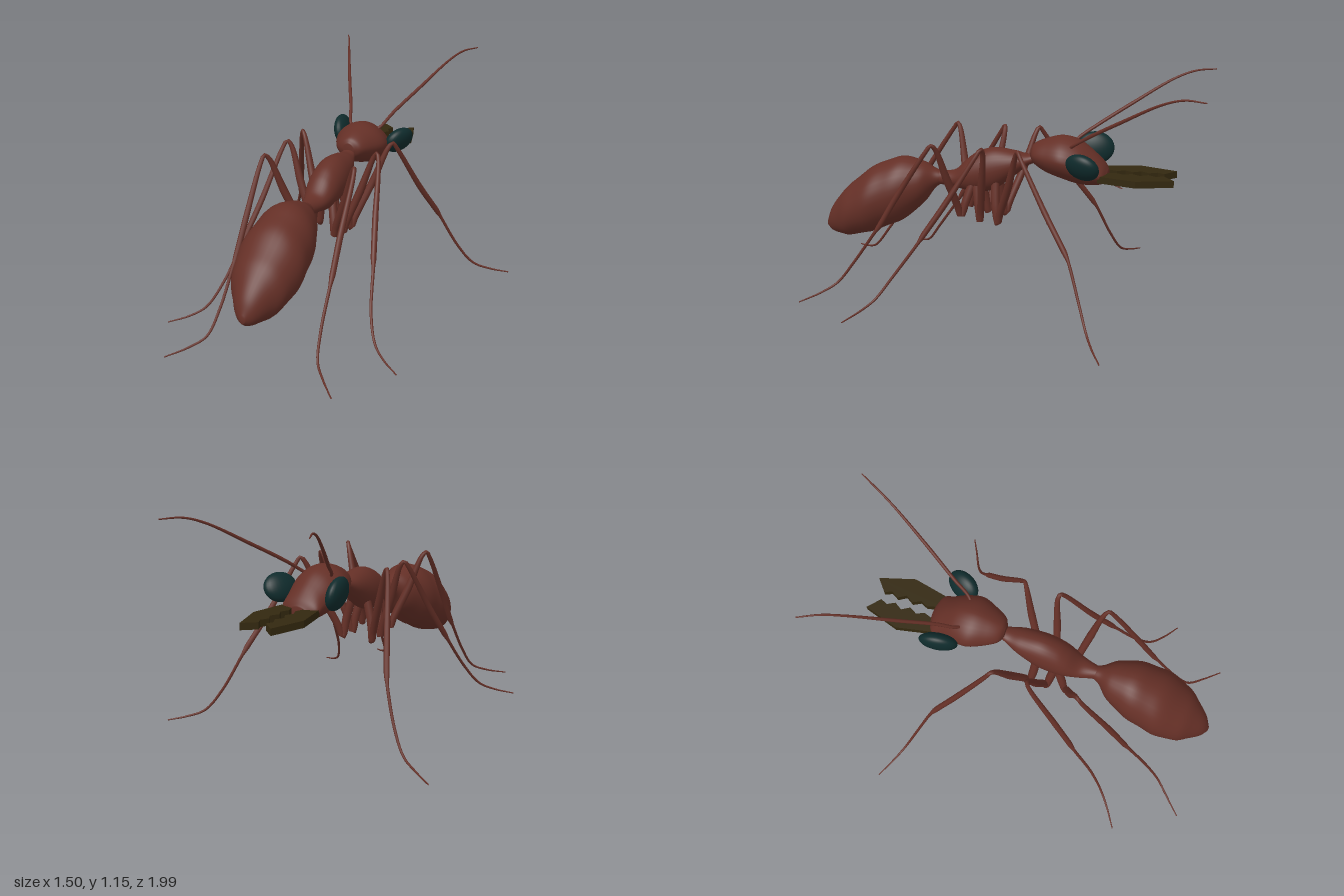
import * as THREE from 'three';

const mat = (name, color, side = THREE.FrontSide) => {
  const m = new THREE.MeshStandardMaterial({ color, side });
  m.name = name;
  return m;
};

// Smooth body section from stations [z, yLow, yHigh, halfWidth]; e > 1 pinches the cross-section
function loft(stations, e = 1, ripple = 0, steps = 56, sides = 32) {
  const centre = new THREE.CatmullRomCurve3(
    stations.map(([z, a, b]) => new THREE.Vector3(0, (a + b) / 2, z)), false, 'catmullrom');
  const size = new THREE.CatmullRomCurve3(
    stations.map(([, a, b, w]) => new THREE.Vector3(w, (b - a) / 2, 0)), false, 'catmullrom');
  const bend = (v) => Math.sign(v) * Math.abs(v) ** e;
  const pos = [], idx = [];
  for (let i = 0; i <= steps; i++) {
    const c = centre.getPoint(i / steps), s = size.getPoint(i / steps);
    const k = 1 + ripple * Math.sin((i / steps) * Math.PI * 12);
    for (let j = 0; j < sides; j++) {
      const a = (j / sides) * Math.PI * 2;
      pos.push(s.x * k * bend(Math.cos(a)), c.y + s.y * k * bend(Math.sin(a)), c.z);
      if (i < steps) {
        const p = i * sides + j, q = i * sides + (j + 1) % sides;
        idx.push(p, q, p + sides, q, q + sides, p + sides);
      }
    }
  }
  // Close both ends
  for (const end of [0, steps]) {
    const c = centre.getPoint(end / steps), mid = pos.length / 3;
    pos.push(c.x, c.y, c.z);
    for (let j = 0; j < sides; j++) {
      const p = end * sides + j, q = end * sides + (j + 1) % sides;
      if (end) idx.push(mid, p, q); else idx.push(mid, q, p);
    }
  }
  const g = new THREE.BufferGeometry();
  g.setAttribute('position', new THREE.Float32BufferAttribute(pos, 3));
  g.setIndex(idx);
  g.computeVertexNormals();
  return g;
}

// Tapered limb through points [x, y, z, radius], mirrored by s
function limb(points, s, steps = 80, sides = 10) {
  const curve = new THREE.CatmullRomCurve3(points.map(([x, y, z]) => new THREE.Vector3(x * s, y, z)));
  const g = new THREE.TubeGeometry(curve, steps, 1, sides);
  const p = g.attributes.position, v = new THREE.Vector3();
  for (let i = 0; i <= steps; i++) {
    const c = curve.getPointAt(i / steps);
    const t = curve.getUtoTmapping(i / steps) * (points.length - 1);
    const k = Math.min(Math.floor(t), points.length - 2);
    const r = THREE.MathUtils.lerp(points[k][3], points[k + 1][3], t - k);
    for (let j = 0; j <= sides; j++) {
      const n = i * (sides + 1) + j;
      v.fromBufferAttribute(p, n).sub(c).multiplyScalar(r).add(c);
      p.setXYZ(n, v.x, v.y, v.z);
    }
  }
  return g;
}

export function createModel() {
  const model = new THREE.Group();
  const shell = mat('reddish brown shell', 0x642f26);
  const limbs = mat('reddish brown limbs', 0x642f26, THREE.DoubleSide);
  const jaw = mat('dark olive jaw', 0x33280f);
  const eyeMat = mat('dark teal eye', 0x0f2b2c);
  const add = (name, geometry, material, parent = model) => {
    const m = new THREE.Mesh(geometry, material);
    m.name = name;
    parent.add(m);
    return m;
  };

  // Body
  add('head', loft([
    [-0.51, 0.64, 0.69, 0.05], [-0.485, 0.62, 0.73, 0.1], [-0.43, 0.608, 0.785, 0.11],
    [-0.36, 0.612, 0.835, 0.128], [-0.28, 0.634, 0.853, 0.136], [-0.2, 0.66, 0.835, 0.105],
    [-0.14, 0.695, 0.808, 0.07], [-0.118, 0.72, 0.78, 0.03],
  ], 1.15), shell);
  add('thorax', loft([
    [-0.16, 0.71, 0.76, 0.025], [-0.1, 0.685, 0.745, 0.045], [-0.03, 0.625, 0.758, 0.07],
    [0.07, 0.55, 0.768, 0.085], [0.15, 0.53, 0.745, 0.085], [0.21, 0.532, 0.705, 0.078],
    [0.28, 0.546, 0.638, 0.058], [0.36, 0.552, 0.626, 0.036], [0.42, 0.54, 0.63, 0.03],
  ]), shell);
  add('abdomen', loft([
    [0.35, 0.56, 0.62, 0.032], [0.39, 0.53, 0.635, 0.05], [0.45, 0.45, 0.662, 0.1],
    [0.54, 0.365, 0.686, 0.14], [0.64, 0.31, 0.665, 0.16], [0.74, 0.268, 0.615, 0.165],
    [0.84, 0.24, 0.535, 0.143], [0.91, 0.236, 0.465, 0.1], [0.97, 0.25, 0.38, 0.052],
    [1.0, 0.272, 0.305, 0.012],
  ], 1, 0.012, 72), shell);

  // Outer edge, pointed tip and toothed inner edge of a jaw, as [x, z]
  const jawOutline = [
    [0.1, -0.47], [0.14, -0.66], [0.085, -0.84], [0.02, -0.785], [0.037, -0.75], [0.015, -0.71],
    [0.04, -0.67], [0.015, -0.63], [0.036, -0.59], [0.018, -0.55], [0.045, -0.47],
  ];

  // Legs: body joint, low elbow, high knee, swollen shin, foot
  const legs = {
    frontLeg: [
      [0.04, 0.62, 0.06, 0.022], [0.075, 0.48, 0.05, 0.022], [0.088, 0.39, 0.036, 0.016],
      [0.105, 0.45, 0.02, 0.019], [0.17, 0.62, -0.04, 0.02], [0.235, 0.8, -0.092, 0.012],
      [0.252, 0.822, -0.105, 0.01], [0.268, 0.79, -0.125, 0.011], [0.345, 0.55, -0.265, 0.015],
      [0.405, 0.39, -0.37, 0.014], [0.42, 0.35, -0.392, 0.008], [0.5, 0.17, -0.462, 0.007],
      [0.575, 0.065, -0.51, 0.006], [0.66, 0.027, -0.552, 0.005], [0.75, 0.004, -0.6, 0.003],
    ],
    middleLeg: [
      [0.04, 0.62, 0.165, 0.022], [0.072, 0.48, 0.142, 0.022], [0.085, 0.39, 0.13, 0.016],
      [0.1, 0.45, 0.122, 0.019], [0.165, 0.62, 0.098, 0.02], [0.228, 0.8, 0.075, 0.012],
      [0.247, 0.822, 0.08, 0.01], [0.262, 0.79, 0.1, 0.011], [0.31, 0.55, 0.245, 0.015],
      [0.348, 0.39, 0.35, 0.014], [0.358, 0.35, 0.375, 0.008], [0.4, 0.18, 0.495, 0.007],
      [0.455, 0.07, 0.575, 0.006], [0.52, 0.03, 0.63, 0.005], [0.61, 0.004, 0.69, 0.003],
    ],
    rearLeg: [
      [0.04, 0.62, 0.165, 0.022], [0.07, 0.5, 0.205, 0.022], [0.085, 0.415, 0.23, 0.016],
      [0.1, 0.47, 0.242, 0.019], [0.165, 0.63, 0.278, 0.02], [0.222, 0.8, 0.318, 0.012],
      [0.238, 0.822, 0.335, 0.01], [0.245, 0.79, 0.36, 0.011], [0.25, 0.55, 0.515, 0.015],
      [0.254, 0.39, 0.61, 0.014], [0.256, 0.35, 0.638, 0.008], [0.265, 0.18, 0.755, 0.007],
      [0.29, 0.07, 0.84, 0.006], [0.35, 0.03, 0.91, 0.005], [0.43, 0.004, 0.995, 0.003],
    ],
  };

  for (const s of [1, -1]) {
    const side = s > 0 ? 'left' : 'right';
    for (const [name, points] of Object.entries(legs)) {
      add(`${side} ${name}`, limb(points, s, 110), limbs);
    }

    add(`${side} antenna`, limb([
      [0.05, 0.79, -0.31, 0.008], [0.088, 0.825, -0.345, 0.008], [0.125, 0.885, -0.43, 0.009],
      [0.2, 0.98, -0.58, 0.009], [0.3, 1.105, -0.79, 0.006], [0.345, 1.14, -0.89, 0.005],
      [0.395, 1.144, -0.99, 0.003],
    ], s), limbs);

    add(`${side} mouth feeler`, limb([
      [0.05, 0.65, -0.44, 0.012], [0.06, 0.645, -0.52, 0.008], [0.07, 0.62, -0.59, 0.003],
    ], s, 16, 8), limbs);

    const shape = new THREE.Shape(jawOutline.map(([x, z]) => new THREE.Vector2(x * s, z)));
    const plate = new THREE.ExtrudeGeometry(shape, { depth: 0.034, bevelEnabled: false });
    add(`${side} jaw`, plate.rotateX(Math.PI / 2).translate(0, 0.682, 0), jaw);
  }

  // Eyes, each set at its own tilt
  const eye = new THREE.SphereGeometry(1, 28, 20);
  const leftEye = add('left eye', eye, eyeMat);
  leftEye.position.set(0.166, 0.742, -0.405);
  leftEye.scale.set(0.045, 0.075, 0.09);
  leftEye.rotation.set(0, -0.4, -0.5);
  const rightEye = add('right eye', eye, eyeMat);
  rightEye.position.set(-0.163, 0.755, -0.415);
  rightEye.scale.set(0.042, 0.083, 0.098);
  rightEye.rotation.set(0, 0.15, 0.2);

  return model;
}
